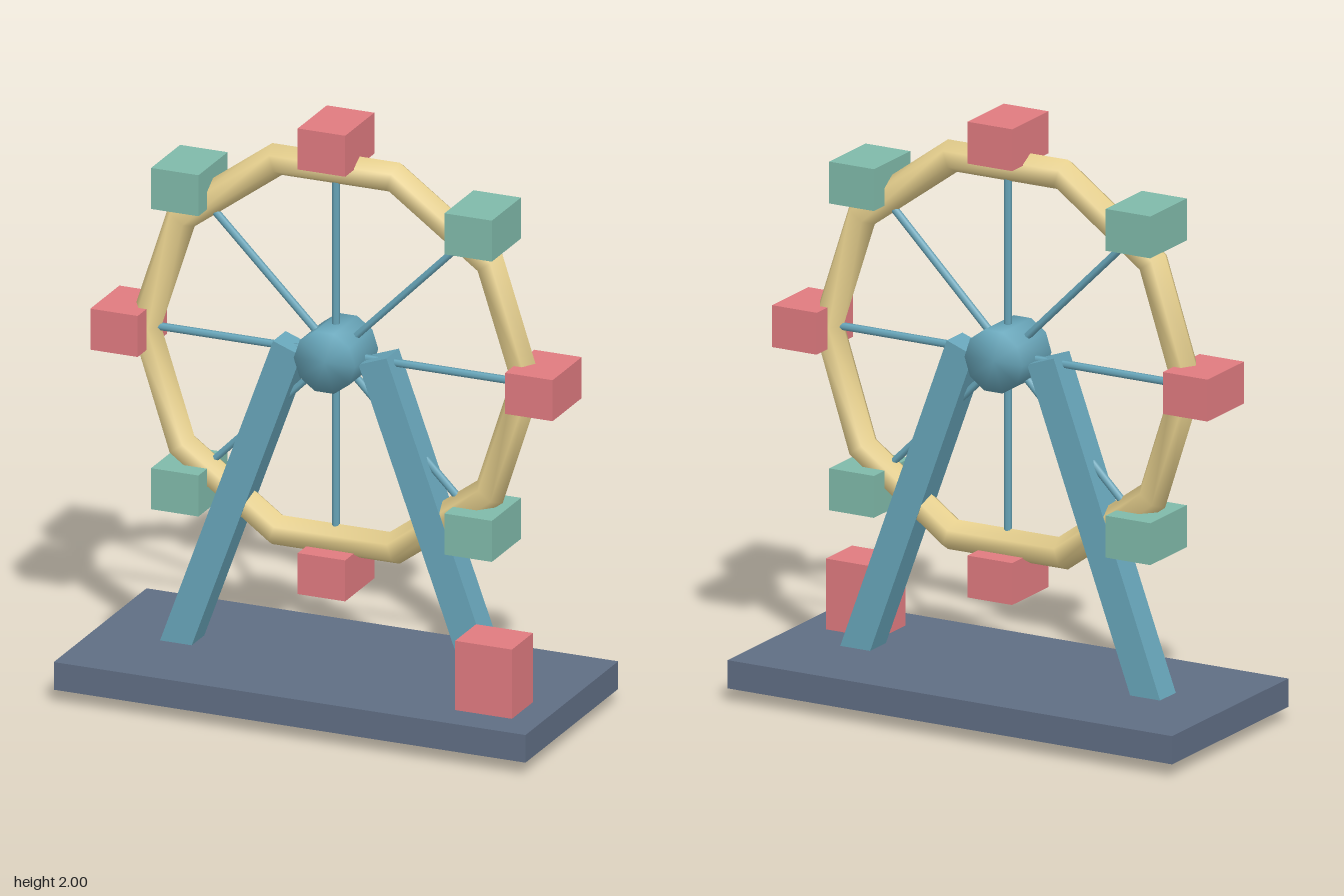
import * as THREE from 'three';
import { mergeVertices } from 'three/addons/utils/BufferGeometryUtils.js';

const paint = (color) => new THREE.MeshStandardMaterial({ color });
const RED = paint(0xe07b80), GREEN = paint(0x80baaa), BLUE = paint(0x68a6ba);
const CREAM = paint(0xead390), SLATE = paint(0x606e84);

const AXLE_Y = 1.2;
const RIM_R = 0.67;
const CABIN_R = 0.73;

// Weld all corners so the whole surface shades smoothly
function welded(geometry) {
  geometry.deleteAttribute('normal');
  geometry.deleteAttribute('uv');
  const g = mergeVertices(geometry);
  g.computeVertexNormals();
  return g;
}

function add(parent, name, geometry, material, x = 0, y = 0, z = 0) {
  const mesh = new THREE.Mesh(geometry, material);
  mesh.name = name;
  mesh.position.set(x, y, z);
  parent.add(mesh);
  return mesh;
}

export function createModel() {
  const model = new THREE.Group();
  model.name = 'ferrisWheel';

  // Ground slab and ticket booth
  add(model, 'base', new THREE.BoxGeometry(1.66, 0.095, 0.74), SLATE, 0, 0.0925, 0);
  add(model, 'ticketBooth', new THREE.BoxGeometry(0.2, 0.24, 0.167), RED, 0.63, 0.258, 0.168);

  // Two leaning legs that poke through the slab
  const legGeometry = new THREE.BoxGeometry(0.105, 1.27, 0.1);
  for (const side of [-1, 1]) {
    const leg = add(model, side > 0 ? 'leftLeg' : 'rightLeg', legGeometry, BLUE, side * 0.368, 0.615, 0);
    leg.rotation.z = side * 0.35;
  }

  // Wheel: ten-sided rim, hub and spokes around the axle
  const wheel = new THREE.Group();
  wheel.name = 'wheel';
  wheel.position.y = AXLE_Y;
  model.add(wheel);

  add(wheel, 'rim', welded(new THREE.TorusGeometry(RIM_R, 0.055, 6, 10)), CREAM);

  const hubGeometry = new THREE.CylinderGeometry(0.108, 0.108, 0.185, 10);
  hubGeometry.rotateX(Math.PI / 2).rotateZ(Math.PI / 2);
  add(wheel, 'hub', welded(hubGeometry), BLUE);

  const spokeGeometry = new THREE.CylinderGeometry(0.013, 0.013, 0.65, 6);
  const cabinGeometry = new THREE.BoxGeometry(0.167, 0.141, 0.232);
  for (let i = 0; i < 8; i++) {
    const a = (i * Math.PI) / 4;
    const c = Math.cos(a), s = Math.sin(a);
    const spoke = add(wheel, 'spoke', spokeGeometry, BLUE, c * 0.325, s * 0.325, 0);
    spoke.rotation.z = a - Math.PI / 2;
    // Cabins stay upright and alternate colour
    add(wheel, 'cabin', cabinGeometry, i % 2 ? GREEN : RED, c * CABIN_R, s * CABIN_R, 0);
  }

  return model;
}
